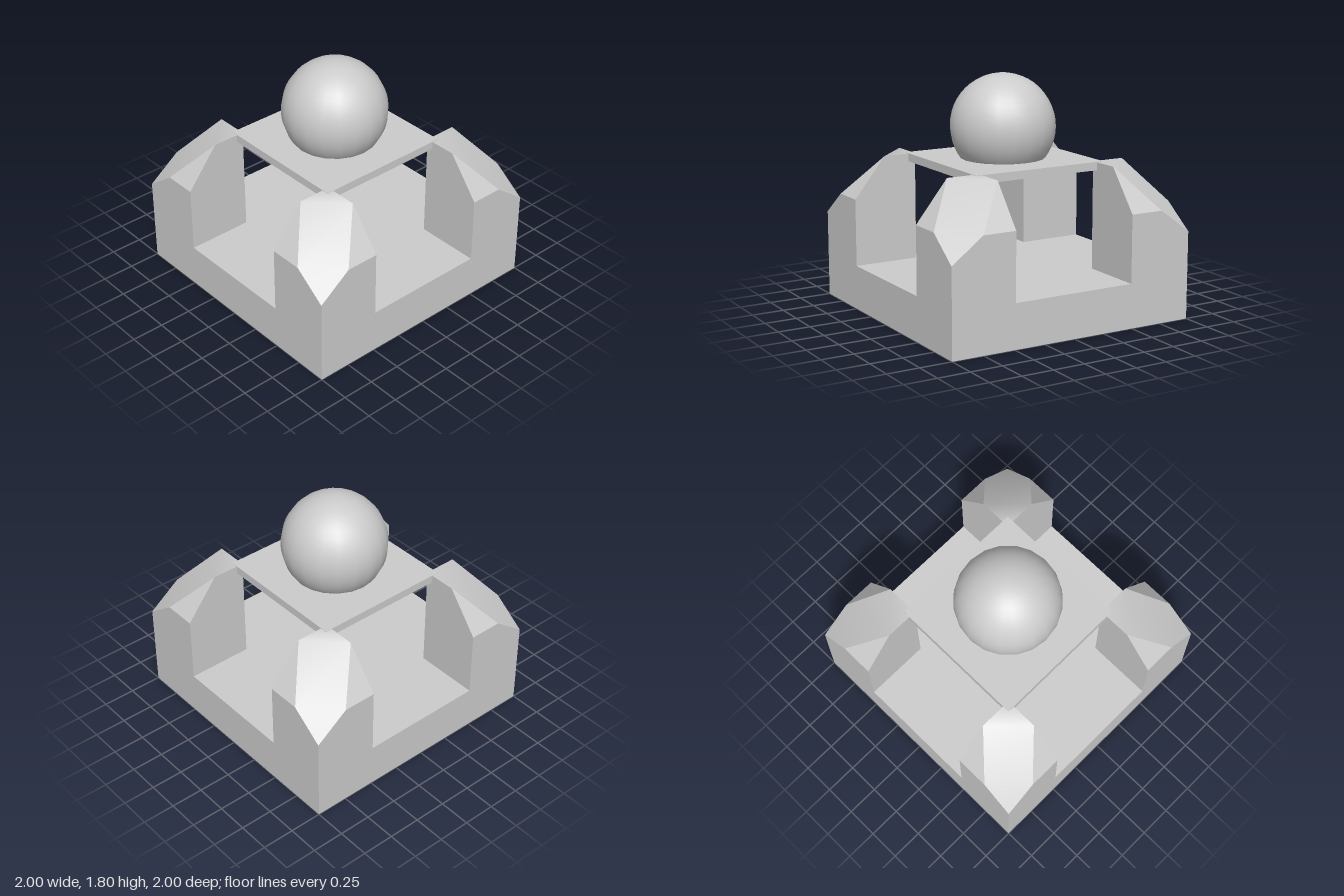
import * as THREE from 'three';
import { mergeGeometries } from 'three/addons/utils/BufferGeometryUtils.js';

const FLOOR = 0.34;          // top of the base
const I = 0.49, M = 0.75;    // inner face and chamfer start of the corner posts
const HIGH = 1.165, MID = 0.855, LOW = 0.67;

// A surface whose normals are smooth inside the patch and sharp at its border;
// without an index list the corners are joined as a fan.
function patch(points, index) {
  const geo = new THREE.BufferGeometry();
  geo.setAttribute('position', new THREE.Float32BufferAttribute(points.flat(), 3));
  const fan = [];
  for (let i = 1; i < points.length - 1; i++) fan.push(0, i, i + 1);
  geo.setIndex(index || fan);
  geo.computeVertexNormals();
  return geo;
}

// Corner post with a chamfered cap, in the +x +z corner
function postGeometry() {
  const a = [I, HIGH, I], b = [I, HIGH, M], c = [M, MID, 1];
  const d = [1, LOW, 1], e = [1, MID, M], f = [M, HIGH, I];
  const g = [I, MID, 1], h = [1, MID, I];
  const foot = (x, z) => [x, FLOOR, z];
  return mergeGeometries([
    patch([a, b, c, d, e, f], [0, 1, 5, 1, 2, 5, 2, 4, 5, 2, 3, 4]), // sloping cap
    patch([b, g, c]),                                                // cap sides
    patch([f, e, h]),
    patch([foot(I, 1), foot(1, 1), d, c, g]),                        // outer walls
    patch([foot(1, 1), foot(1, I), h, e, d]),
    patch([foot(1, I), foot(I, I), a, f, h]),                        // inner walls
    patch([foot(I, I), foot(I, 1), g, b, a]),
  ]);
}

// Box shell open at the bottom
function openBox(w, h, d) {
  const geo = new THREE.BoxGeometry(w, h, d);
  const index = Array.from(geo.index.array);
  index.splice(18, 6); // drop the underside
  geo.setIndex(index);
  geo.clearGroups();
  return geo;
}

export function createModel() {
  const model = new THREE.Group();
  model.name = 'pedestal';
  const grey = new THREE.MeshStandardMaterial({ color: 0xcccccc });
  const shell = new THREE.MeshStandardMaterial({ color: 0xcccccc, side: THREE.DoubleSide });

  const add = (name, geo, y, material = grey) => {
    const mesh = new THREE.Mesh(geo, material);
    mesh.name = name;
    mesh.position.y = y;
    model.add(mesh);
    return mesh;
  };

  // Hollow base
  add('base', openBox(2, FLOOR, 2), FLOOR / 2, shell);

  // Four corner posts
  const post = postGeometry();
  for (let i = 0; i < 4; i++) {
    add('cornerPost' + (i + 1), post, 0, shell).rotation.y = (i * Math.PI) / 2;
  }

  // Thin plate resting on the posts
  add('plate', new THREE.BoxGeometry(1.09, 0.063, 1.09), 1.1365);

  // Ball sunk into the plate
  add('ball', new THREE.SphereGeometry(0.4, 20, 24), 1.405);

  return model;
}
